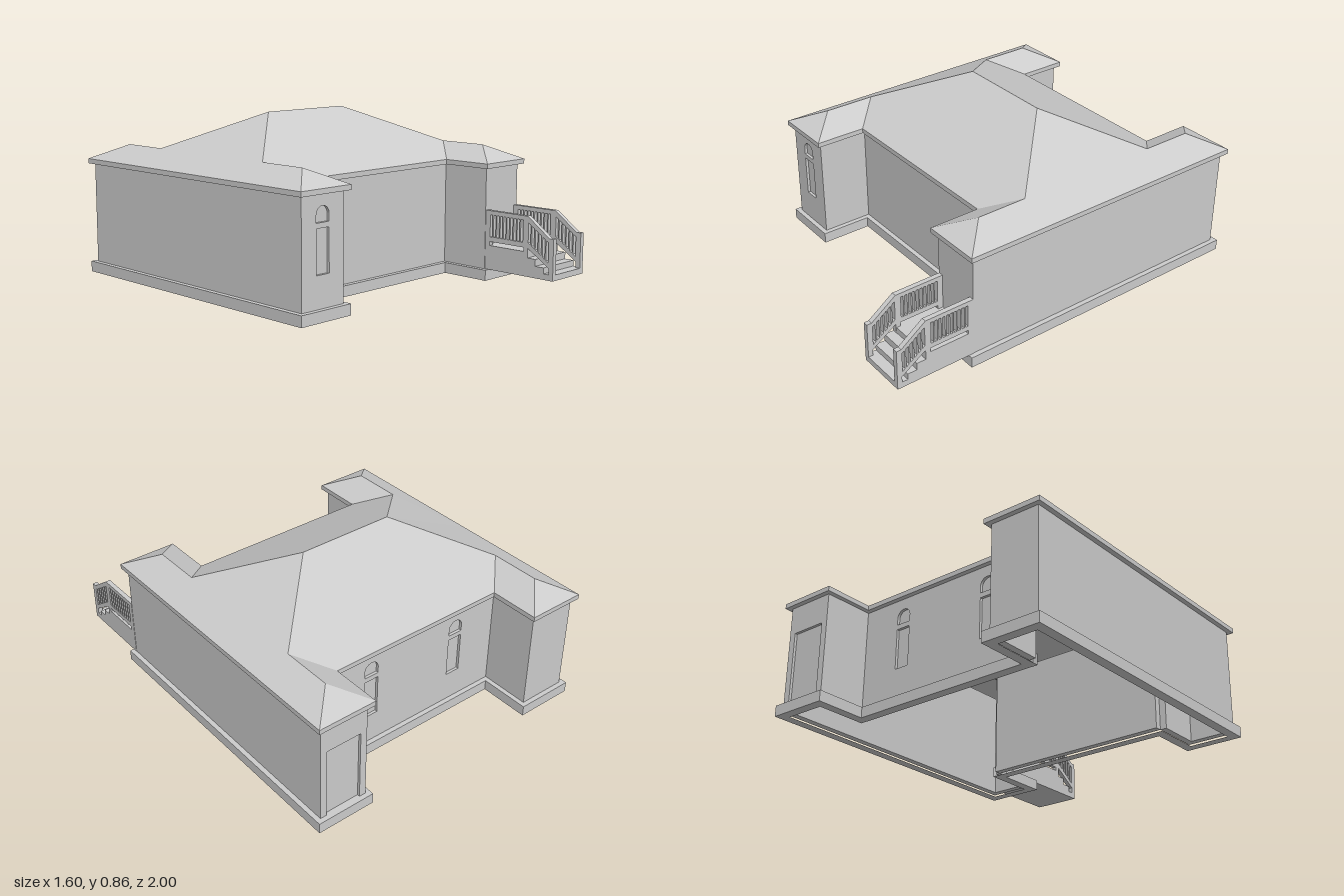
import * as THREE from 'three';

const ZC = -0.195;      // middle of the house in z
const WALL_T = 0.035, RECESS = 0.014;
const mat = new THREE.MeshStandardMaterial({ color: 0xcccccc, flatShading: true });
const roofMat = new THREE.MeshStandardMaterial({ color: 0xcccccc, flatShading: true, side: THREE.DoubleSide });

function add(parent, name, geo, material = mat) {
  const mesh = new THREE.Mesh(geo, material);
  mesh.name = name;
  parent.add(mesh);
  return mesh;
}

const extrude = (shape, depth) => new THREE.ExtrudeGeometry(shape, { depth, bevelEnabled: false, curveSegments: 8 });
const poly = (pts) => new THREE.Shape(pts.map(([x, y]) => new THREE.Vector2(x, y)));
const rect = (x0, x1, y0, y1) => poly([[x0, y0], [x1, y0], [x1, y1], [x0, y1]]);

// H-shaped plan, inset by d from the eaves line, as [x, z]
function plan(d) {
  const w = 0.8 - d, i = 0.49 + d, e = 0.805 - d, b = 0.54 - d;
  return [[-w, e], [-i, e], [-i, b], [i, b], [i, e], [w, e],
    [w, -e], [i, -e], [i, -b], [-i, -b], [-i, -e], [-w, -e]];
}

// Horizontal H-shaped band between two insets
function band(dOut, dIn, y0, y1) {
  const shape = poly(plan(dOut));
  shape.holes.push(poly(plan(dIn)));
  return extrude(shape, y1 - y0).rotateX(-Math.PI / 2).translate(0, y0, ZC);
}

// Window: a rectangle with a separate arched light above
function windowShapes(c) {
  const arch = new THREE.Shape();
  arch.moveTo(c - 0.04, 0.445);
  arch.lineTo(c + 0.04, 0.445);
  arch.lineTo(c + 0.04, 0.48);
  arch.absarc(c, 0.48, 0.04, 0, Math.PI, false);
  arch.closePath();
  return [rect(c - 0.04, c + 0.04, 0.21, 0.42), arch];
}

// Walls: one panel per side of the plan, with recessed openings
function buildWalls() {
  const walls = new THREE.Group();
  walls.name = 'walls';
  const pts = plan(0.025);
  const openings = {
    0: windowShapes(0.13),
    6: [rect(0.02, 0.24, 0.055, 0.43)],
    8: [...windowShapes(0.25), ...windowShapes(0.78)],
  };
  pts.forEach(([ax, az], k) => {
    const [bx, bz] = pts[(k + 1) % pts.length];
    const panel = new THREE.Group();
    panel.name = 'wallPanel';
    panel.position.set(ax, 0, az + ZC);
    panel.rotation.y = Math.atan2(-(bz - az), bx - ax);
    const shape = rect(0, Math.hypot(bx - ax, bz - az), 0.02, 0.59);
    const holes = openings[k] || [];
    shape.holes.push(...holes);
    add(panel, 'wall', extrude(shape, WALL_T).translate(0, 0, -WALL_T));
    holes.forEach((h) => add(panel, k === 6 ? 'door' : 'windowPane',
      extrude(h, WALL_T - RECESS).translate(0, 0, -WALL_T)));
    walls.add(panel);
  });
  return walls;
}

// Hipped roof: one quarter, mirrored in x and z
function buildRoof() {
  const A = [0.8, 0.6, 0.805], B = [0.49, 0.6, 0.805], C = [0.49, 0.6, 0.54];
  const P = [0.645, 0.675, 0.65], Q = [0.645, 0.675, 0.385], R = [0.26, 0.86, 0];
  const E = [0.8, 0.6, 0], M = [0, 0.6, 0.54], T = [0, 0.86, 0];
  const tris = [
    [B, A, P],                           // wing end hip
    [C, B, P], [C, P, Q],                // wing inner slope
    [M, C, Q], [M, Q, R], [M, R, T],     // main slope
    [A, E, P], [P, E, Q], [Q, E, R],     // outer slope
  ];
  const pos = [];
  for (const sx of [1, -1]) for (const sz of [1, -1]) {
    for (const [a, b, c] of tris) {
      const order = sx * sz > 0 ? [a, b, c] : [a, c, b];
      for (const [x, y, z] of order) pos.push(sx * x, y, sz * z + ZC);
    }
  }
  const geo = new THREE.BufferGeometry();
  geo.setAttribute('position', new THREE.Float32BufferAttribute(pos, 3));
  geo.computeVertexNormals();
  return geo;
}

// Side railing in (z, y): a panel pierced by slots
function railingShape() {
  const shape = poly([[0.585, 0.055], [1, 0.055], [1, 0.265], [0.975, 0.265], [0.845, 0.36], [0.585, 0.36]]);
  for (let i = 0; i < 10; i++) {         // level slots
    const z = 0.614 + i * 0.021;
    shape.holes.push(rect(z, z + 0.014, 0.225, 0.338));
  }
  const slope = (z) => 0.14 + (0.975 - z) * 0.7;
  for (let i = 0; i < 6; i++) {          // sloping slots
    const z0 = 0.85 + i * 0.0215, z1 = z0 + 0.014;
    shape.holes.push(poly([[z0, slope(z0)], [z1, slope(z1)], [z1, slope(z1) + 0.1], [z0, slope(z0) + 0.1]]));
  }
  shape.holes.push(rect(0.612, 0.822, 0.18, 0.2));
  shape.holes.push(poly([[0.975, 0.085], [0.975, 0.115], [0.847, 0.2], [0.847, 0.15],
    [0.895, 0.15], [0.895, 0.115], [0.945, 0.115], [0.945, 0.085]]));
  return shape;
}

// Landing, steps and a railing on each side
function buildStairs() {
  const stairs = new THREE.Group();
  stairs.name = 'stairs';
  const across = (shape, x0, x1) => extrude(shape, x1 - x0).rotateY(-Math.PI / 2).translate(x1, 0, 0);
  const steps = poly([[0.57, 0.055], [1, 0.055], [1, 0.085], [0.945, 0.085], [0.945, 0.115],
    [0.895, 0.115], [0.895, 0.15], [0.845, 0.15], [0.845, 0.18], [0.57, 0.18]]);
  add(stairs, 'steps', across(steps, 0.543, 0.752));
  for (const x of [0.518, 0.752]) add(stairs, 'railing', across(railingShape(), x, x + 0.025));
  return stairs;
}

export function createModel() {
  const house = new THREE.Group();
  house.name = 'house';
  add(house, 'plinth', band(0, 0.05, 0, 0.055));
  add(house, 'eaves', band(0, 0.05, 0.575, 0.6));
  add(house, 'roof', buildRoof(), roofMat);
  house.add(buildWalls(), buildStairs());
  return house;
}
